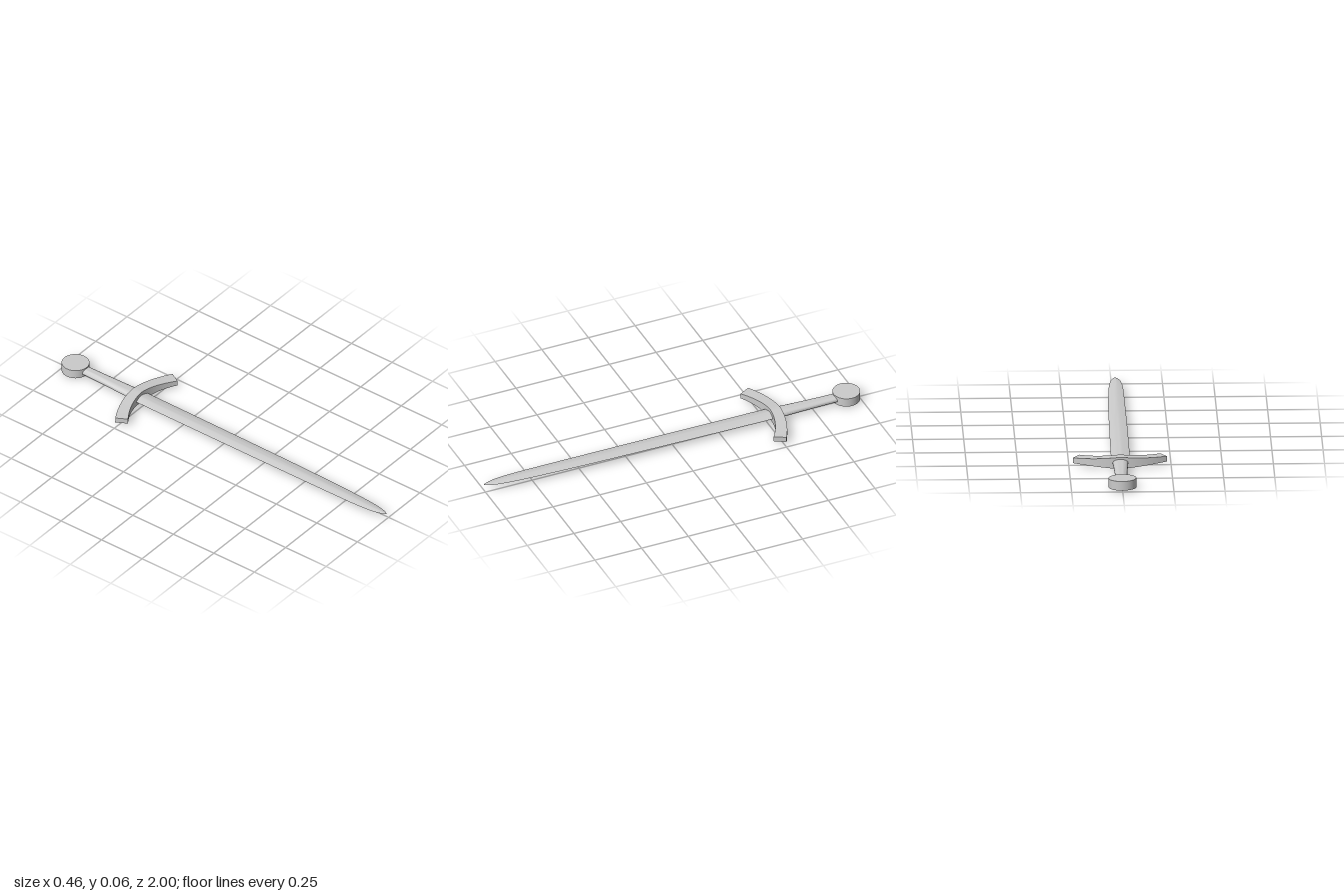
import * as THREE from 'three';
import { toCreasedNormals } from 'three/addons/utils/BufferGeometryUtils.js';

const MID = 0.034;   // height of the sword's centre plane
const TILT = -0.011; // slight roll about the long axis

const material = new THREE.MeshStandardMaterial({ color: 0xcccccc });

// Skin a list of closed rings (counter-clockwise seen from the far end) and cap both ends
function loft(rings, crease) {
  const n = rings[0].length, last = (rings.length - 1) * n, index = [];
  for (let i = 0; i < rings.length - 1; i++) {
    for (let j = 0; j < n; j++) {
      const a = i * n + j, b = i * n + (j + 1) % n;
      index.push(a, b, b + n, a, b + n, a + n);
    }
  }
  for (let j = 1; j < n - 1; j++) {
    index.push(0, j + 1, j);
    index.push(last, last + j, last + j + 1);
  }
  const geometry = new THREE.BufferGeometry();
  geometry.setAttribute('position', new THREE.Float32BufferAttribute(rings.flat(2), 3));
  geometry.setIndex(index);
  return toCreasedNormals(geometry, crease);
}

// Blade: lens-shaped sections with two sharp edges
function bladeGeometry() {
  // z, left edge x, right edge x, half thickness
  const sections = [
    [-0.55, -0.048, 0.043, 0.013], [-0.45, -0.05, 0.043, 0.0095], [-0.1, -0.052, 0.039, 0.009],
    [0.2, -0.053, 0.035, 0.0085], [0.45, -0.053, 0.031, 0.008], [0.65, -0.053, 0.025, 0.008],
    [0.8, -0.052, 0.019, 0.0075], [0.88, -0.049, 0.013, 0.007], [0.93, -0.044, 0.007, 0.006],
    [0.965, -0.036, 0.0, 0.005], [0.985, -0.029, -0.007, 0.003], [0.995, -0.023, -0.013, 0.002],
    [1, -0.019, -0.017, 0.0005],
  ];
  const steps = 8;
  return loft(sections.map(([z, x0, x1, h]) => {
    const ring = [], y = 0.0015 * (z + 0.5);
    for (let j = 0; j < steps * 2; j++) {
      const t = j <= steps ? 1 - 2 * j / steps : 2 * j / steps - 3;
      const side = j <= steps ? 1 : -1;
      const lift = side * h * (1 - Math.abs(t) ** 1.4);
      ring.push([(x0 + x1) / 2 + t * (x1 - x0) / 2, y + lift, z]);
    }
    return ring;
  }), 0.6);
}

// Crossguard: a bow swept toward the tip, tallest in the middle
function guardGeometry() {
  const rings = [], steps = 24;
  for (let i = 0; i <= steps; i++) {
    const t = 2 * i / steps - 1, d = Math.abs(t);
    const h = 0.0135 + 0.0165 * (1 - d) ** 1.3;
    const xOut = 0.229 * t, xIn = 0.198 * t;
    const zOut = -0.577 + 0.067 * d * d, zIn = -0.524 + 0.069 * d * d;
    rings.push([[xOut, -h, zOut], [xOut, h, zOut], [xIn, h, zIn], [xIn, -h, zIn]]);
  }
  return loft(rings, 0.6);
}

// Grip: oval sections widening toward the guard
function gripGeometry() {
  // z, left x, right x, half height
  const sections = [
    [-0.89, -0.026, 0.031, 0.017], [-0.8, -0.028, 0.032, 0.0175],
    [-0.7, -0.032, 0.034, 0.018], [-0.62, -0.036, 0.036, 0.019], [-0.54, -0.041, 0.04, 0.02],
  ];
  return loft(sections.map(([z, x0, x1, h]) => Array.from({ length: 24 }, (_, j) => {
    const a = j / 24 * Math.PI * 2;
    return [(x0 + x1) / 2 + Math.cos(a) * (x1 - x0) / 2, Math.sin(a) * h, z];
  })), 0.7);
}

export function createModel() {
  const sword = new THREE.Group();
  sword.name = 'sword';
  const add = (name, geometry) => {
    const mesh = new THREE.Mesh(geometry, material);
    mesh.name = name;
    sword.add(mesh);
    return mesh;
  };

  add('blade', bladeGeometry());
  add('crossguard', guardGeometry());
  add('grip', gripGeometry());

  // Pommel: a flat disc
  add('pommel', new THREE.CylinderGeometry(0.068, 0.068, 0.046, 48)).position.set(0, 0, -0.932);

  sword.position.y = MID;
  sword.rotation.z = TILT;
  return sword;
}
